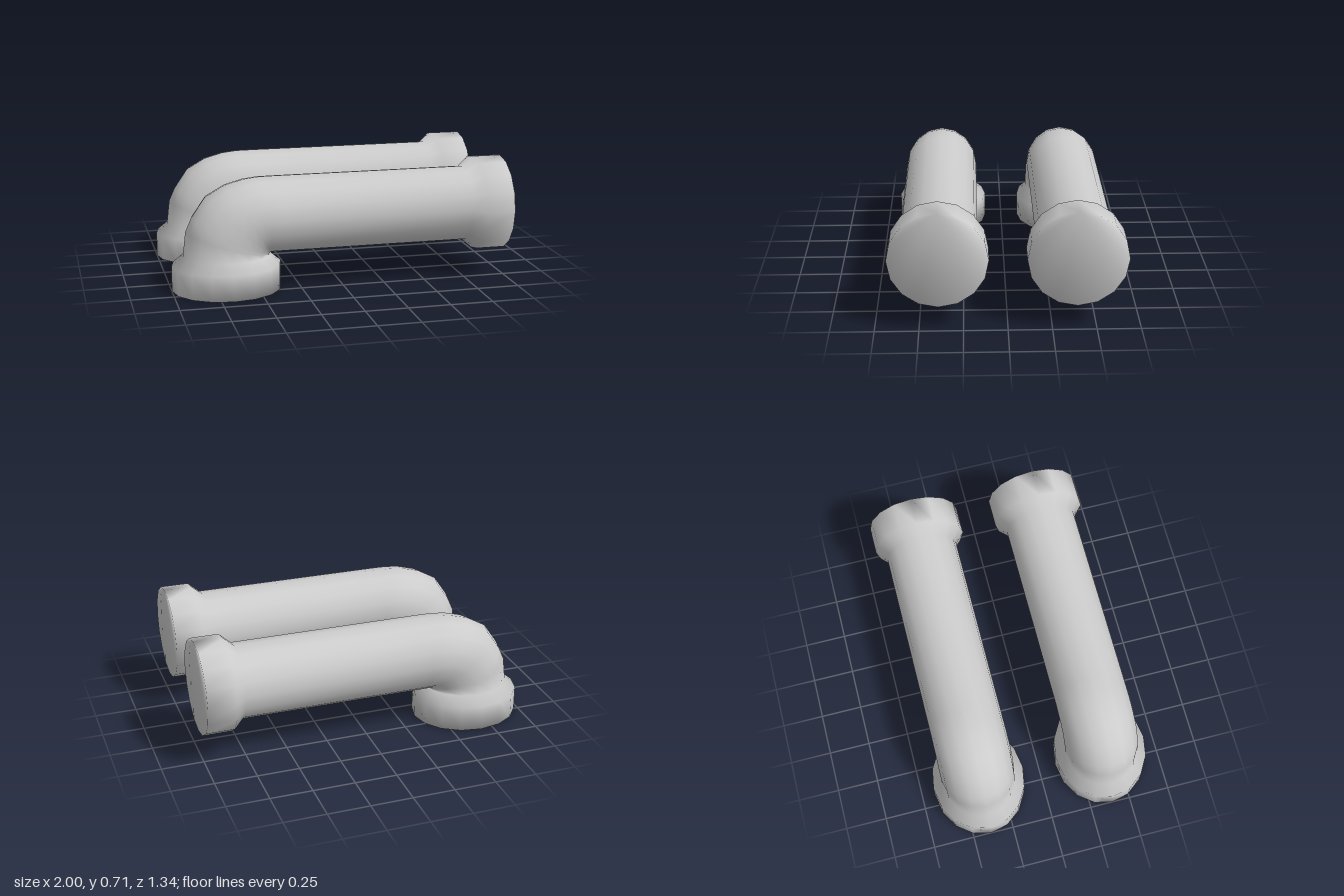
import * as THREE from 'three';

const SIDES = 16;

// Cross-sections along the pipe: inner bend point (x, y), outer bend point (x, y), half width in z
const sections = [
  // floor collar
  [-0.355, 0, -1, 0, 0.283],
  [-0.355, 0.15, -1, 0.15, 0.283],
  [-0.422, 0.205, -0.932, 0.205, 0.225],
  // elbow
  [-0.421, 0.207, -0.914, 0.353, 0.225],
  [-0.42, 0.208, -0.88, 0.43, 0.225],
  [-0.419, 0.209, -0.797, 0.551, 0.225],
  [-0.418, 0.21, -0.68, 0.617, 0.224],
  [-0.416, 0.21, -0.57, 0.647, 0.224],
  [-0.412, 0.21, -0.48, 0.657, 0.223],
  // straight run
  [-0.38, 0.21, -0.38, 0.658, 0.223],
  [0.765, 0.21, 0.765, 0.658, 0.223],
  // end collar
  [0.83, 0.149, 0.83, 0.715, 0.283],
  [1, 0.149, 1, 0.715, 0.283],
];

// Skins elliptical rings through the sections and closes both ends
function pipeGeometry() {
  const points = [];
  const faces = [];
  for (const [ix, iy, ox, oy, halfWidth] of sections) {
    for (let j = 0; j < SIDES; j++) {
      const a = (j / SIDES) * Math.PI * 2;
      const t = (1 + Math.cos(a)) / 2;
      points.push(ix + (ox - ix) * t, iy + (oy - iy) * t, Math.sin(a) * halfWidth);
    }
  }
  for (let i = 0; i < sections.length - 1; i++) {
    for (let j = 0; j < SIDES; j++) {
      const k = (j + 1) % SIDES;
      const a = i * SIDES + j, b = i * SIDES + k;
      faces.push(a, b, a + SIDES, b, b + SIDES, a + SIDES);
    }
  }
  const last = (sections.length - 1) * SIDES;
  for (let j = 1; j < SIDES - 1; j++) {
    faces.push(0, j + 1, j, last, last + j, last + j + 1);
  }
  const geometry = new THREE.BufferGeometry();
  geometry.setAttribute('position', new THREE.Float32BufferAttribute(points, 3));
  geometry.setIndex(faces);
  geometry.computeVertexNormals();
  return geometry;
}

export function createModel() {
  const model = new THREE.Group();
  model.name = 'pipePair';
  const geometry = pipeGeometry();
  const material = new THREE.MeshStandardMaterial({ color: 0xcccccc });
  // two identical elbow pipes, side by side
  for (const [name, z] of [['frontPipe', 0.389], ['backPipe', -0.389]]) {
    const pipe = new THREE.Mesh(geometry, material);
    pipe.name = name;
    pipe.position.z = z;
    model.add(pipe);
  }
  return model;
}
